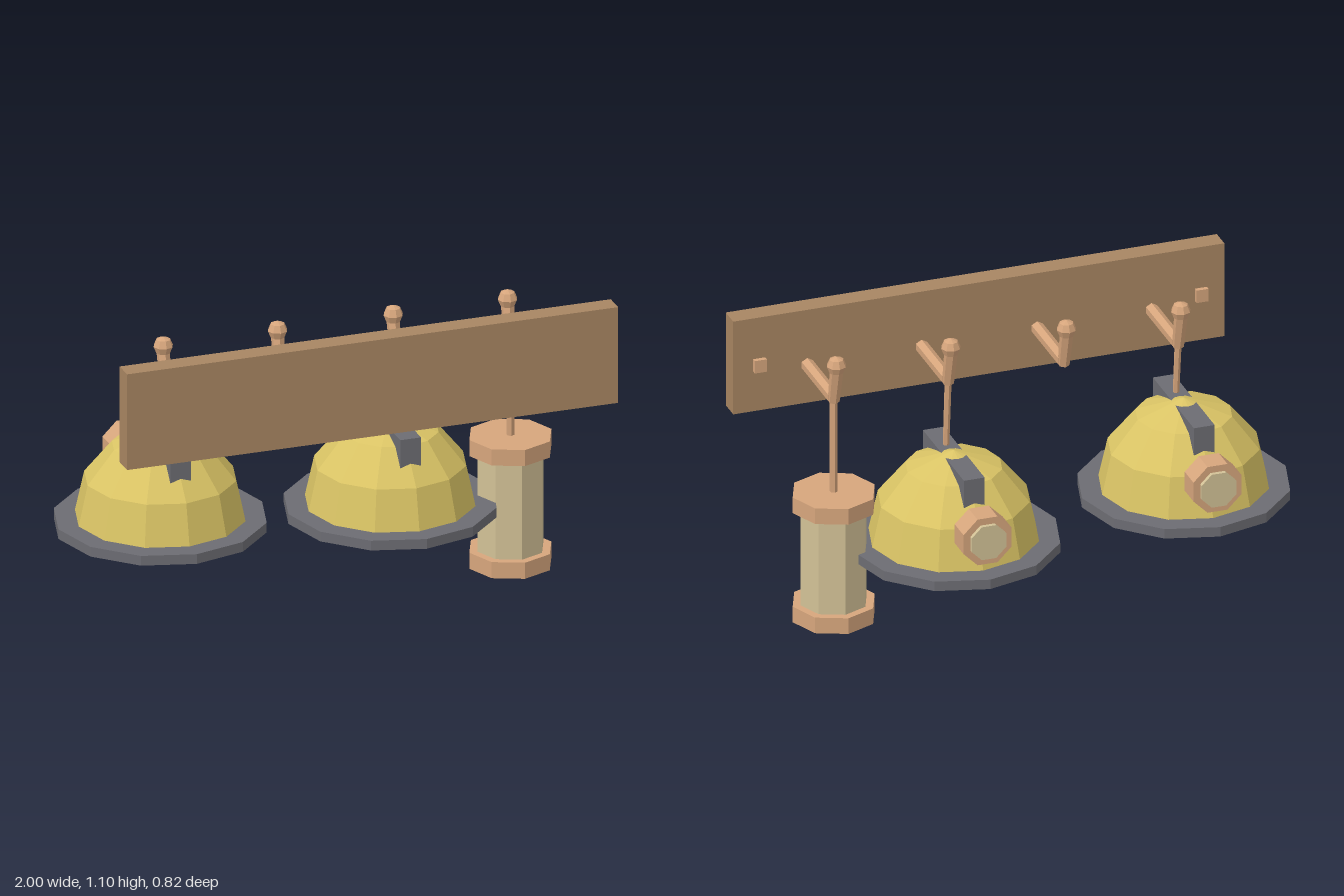
import * as THREE from 'three';

const mat = (name, color) => {
  const m = new THREE.MeshStandardMaterial({ color, flatShading: true });
  m.name = name;
  return m;
};

export function createModel() {
  const board = mat('board wood', 0xa88662);
  const copper = mat('copper wood', 0xd6a57c);
  const yellow = mat('helmet yellow', 0xdac465);
  const grey = mat('rubber grey', 0x6c6c72);
  const glass = mat('pale glass', 0xd2c196);

  const root = new THREE.Group();
  root.name = 'helmetRack';

  const add = (parent, name, geo, material, x = 0, y = 0, z = 0) => {
    const mesh = new THREE.Mesh(geo, material);
    mesh.name = name;
    mesh.position.set(x, y, z);
    parent.add(mesh);
    return mesh;
  };
  const group = (name, x, y, z) => {
    const g = new THREE.Group();
    g.name = name;
    g.position.set(x, y, z);
    root.add(g);
    return g;
  };
  // Straight rod between two points in the y/z plane
  const rod = (parent, name, y0, z0, y1, z1, r0, r1, material) => {
    const dir = new THREE.Vector3(0, y1 - y0, z1 - z0);
    const mesh = add(parent, name, new THREE.CylinderGeometry(r1, r0, dir.length(), 6),
      material, 0, (y0 + y1) / 2, (z0 + z1) / 2);
    mesh.quaternion.setFromUnitVectors(new THREE.Vector3(0, 1, 0), dir.normalize());
    return mesh;
  };

  // Backboard with two small mounting blocks
  add(root, 'backboard', new THREE.BoxGeometry(1.89, 0.375, 0.08), board, 0.055, 0.917, 0.37);
  for (const x of [-0.8, 0.9]) {
    add(root, 'mountingBlock', new THREE.BoxGeometry(0.046, 0.05, 0.02), copper, x, 0.915, 0.322);
  }

  // Four bent pegs with knobs
  for (const x of [-0.61, -0.17, 0.275, 0.715]) {
    const peg = group('peg', x, 0, 0);
    rod(peg, 'pegArm', 0.885, 0.335, 0.885, 0.047, 0.025, 0.025, copper);
    rod(peg, 'pegHook', 0.87, 0.047, 1.01, 0.014, 0.022, 0.025, copper);
    add(peg, 'pegKnob', new THREE.SphereGeometry(0.037, 8, 4), copper, 0, 1.025, 0.017);
  }

  // Two helmets, hanging at different heights
  const dome = [[0.314, 0], [0.28, 0.155], [0.178, 0.28], [0, 0.342]]
    .map(([r, y]) => new THREE.Vector2(r, y));
  for (const [x, y] of [[-0.61, 0.348], [0.275, 0.284]]) {
    const helmet = group('helmet', x, y, -0.015);
    add(helmet, 'dome', new THREE.LatheGeometry(dome, 12), yellow);
    add(helmet, 'brim', new THREE.CylinderGeometry(0.392, 0.392, 0.038, 12), grey, 0, -0.019, 0);
    add(helmet, 'crest', new THREE.BoxGeometry(0.08, 0.14, 0.44), grey, 0, 0.256, 0);
    // Lamp on the rear face
    const housing = add(helmet, 'lampHousing', new THREE.CylinderGeometry(0.1, 0.1, 0.095, 8),
      copper, 0, 0.143, -0.315);
    const lens = add(helmet, 'lampLens', new THREE.CylinderGeometry(0.072, 0.072, 0.02, 8),
      glass, 0, 0.143, -0.368);
    for (const part of [housing, lens]) {
      part.geometry.rotateY(Math.PI / 8);
      part.geometry.rotateX(Math.PI / 2);
    }
    // Hanging cord from the peg to the crown
    rod(helmet, 'cord', 0.3, 0.085, 0.885 - y, 0.06, 0.012, 0.013, copper);
  }

  // Lantern hanging from the last peg
  const lantern = group('lantern', 0.715, 0, 0.047);
  add(lantern, 'lanternBase', new THREE.CylinderGeometry(0.158, 0.158, 0.063, 8), copper, 0, 0.0315, 0);
  add(lantern, 'lanternGlass', new THREE.CylinderGeometry(0.127, 0.127, 0.39, 8), glass, 0, 0.252, 0);
  add(lantern, 'lanternCap', new THREE.CylinderGeometry(0.158, 0.158, 0.063, 8), copper, 0, 0.473, 0);
  rod(lantern, 'lanternCord', 0.49, 0, 0.885, 0, 0.015, 0.015, copper);

  return root;
}
